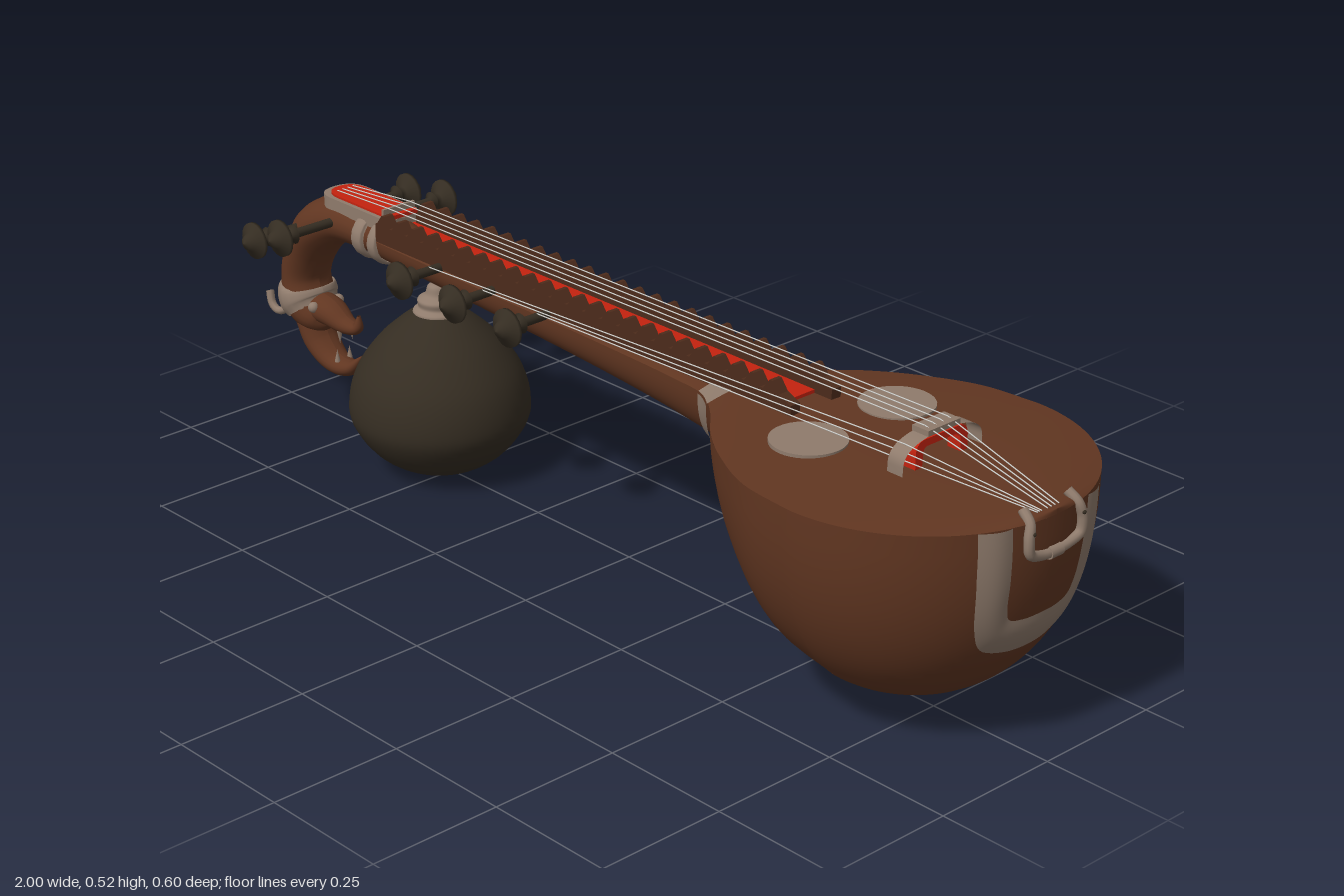
import * as THREE from 'three';

const mat = (name, color, side = THREE.FrontSide) => {
  const m = new THREE.MeshStandardMaterial({ color, side });
  m.name = name;
  return m;
};

export function createModel() {
  const wood = mat('brown wood', 0x613621, THREE.DoubleSide);
  const rail = mat('dark brown wood', 0x4c2b1b);
  const ivory = mat('aged ivory', 0x8f7b6c, THREE.DoubleSide);
  const ebony = mat('ebony', 0x352d22);
  const red = mat('red lacquer', 0xc4220f);
  const steel = mat('steel', 0xd2d2ce);

  const model = new THREE.Group();
  const add = (name, geo, material, x = 0, y = 0, z = 0) => {
    const m = new THREE.Mesh(geo, material);
    m.name = name;
    m.position.set(x, y, z);
    model.add(m);
    return m;
  };
  const box = (name, material, w, h, d, x, y, z) => add(name, new THREE.BoxGeometry(w, h, d), material, x, y, z);
  const curve = (pts) => new THREE.CatmullRomCurve3(pts.map((p) => new THREE.Vector3(...p)));

  // Surface from a rule fn(u, v) -> [x, y, z]; the front is along du x dv
  function grid(nu, nv, fn) {
    const pos = [], idx = [];
    for (let i = 0; i <= nu; i++) for (let j = 0; j <= nv; j++) pos.push(...fn(i / nu, j / nv));
    for (let i = 0; i < nu; i++) for (let j = 0; j < nv; j++) {
      const a = i * (nv + 1) + j, b = a + nv + 1;
      idx.push(a, b, a + 1, b, b + 1, a + 1);
    }
    const g = new THREE.BufferGeometry();
    g.setAttribute('position', new THREE.Float32BufferAttribute(pos, 3));
    g.setIndex(idx);
    g.computeVertexNormals();
    return g;
  }

  // Tapered sweep in the xy plane; points are [x, y, radius]
  function sweep(pts, zScale = 1, nu = 28) {
    const c = curve(pts);
    return grid(nu, 20, (u, v) => {
      const p = c.getPoint(u), t = c.getTangent(u);
      const l = Math.hypot(t.x, t.y) || 1, a = v * Math.PI * 2;
      const k = p.z * Math.cos(a);
      return [p.x - (t.y / l) * k, p.y + (t.x / l) * k, -p.z * zScale * Math.sin(a)];
    });
  }

  // Neck and bowl: stations of [x, half width, depth], closed by a round end
  const TOP = 0.446, CX = 0.69, R = 0.3, DEPTH = 0.402, FULL = 2.3;
  const full = (c) => Math.sign(c) * Math.abs(c) ** (2 / FULL);
  const stations = curve([
    [-0.64, 0.056, 0.05], [-0.3, 0.065, 0.063], [0, 0.071, 0.081], [0.2, 0.08, 0.099], [0.28, 0.09, 0.111],
    [0.34, 0.13, 0.137], [0.4, 0.187, 0.197], [0.48, 0.242, 0.302], [0.58, 0.287, 0.377], [CX, R, DEPTH],
  ]);
  const station = (u) => {
    if (u < 0.65) return stations.getPoint(u / 0.65);
    const a = ((u - 0.65) / 0.35) * Math.PI / 2;
    return new THREE.Vector3(CX + R * Math.sin(a), R * Math.cos(a), DEPTH);
  };
  const shell = (u0, u1, nu, off) => grid(nu, 36, (u, v) => {
    const s = station(u0 + (u1 - u0) * u), a = v * Math.PI;
    return [s.x, TOP - (s.z + off) * full(Math.sin(a)), -(s.y + off) * full(Math.cos(a))];
  });
  const deck = (u0, u1, nu, off) => grid(nu, 10, (u, v) => {
    const s = station(u0 + (u1 - u0) * u), k = 1 - 2 * v;
    return [s.x, TOP + off + 0.01 * (1 - k * k), (s.y + off) * k];
  });
  add('bowlAndNeck', shell(0, 0.65, 64, 0), wood);
  add('bowlEnd', grid(40, 24, (u, v) => {
    const phi = (u - 0.5) * Math.PI, a = v * Math.PI / 2, r = R * full(Math.cos(a));
    return [CX + r * Math.cos(phi), TOP - DEPTH * full(Math.sin(a)), r * Math.sin(phi)];
  }), wood);
  add('soundboard', deck(0, 1, 90, 0), wood);
  add('neckJointBand', shell(0.28, 0.335, 6, 0.006), ivory);
  add('neckJointBandTop', deck(0.28, 0.335, 6, 0.004), ivory);
  for (const z of [-0.108, 0.104]) {
    add('soundboardDisc', new THREE.CylinderGeometry(0.067, 0.067, 0.008, 40), ivory, 0.545, TOP + 0.0085, z);
  }

  // U-shaped inlay wrapped on the end of the bowl
  const mirrored = (pts) => curve([...pts, ...pts.slice(0, -1).reverse().map(([z, y]) => [-z, y, 0])]);
  const outer = mirrored([[0.145, TOP, 0], [0.14, 0.35, 0], [0.125, 0.26, 0], [0.1, 0.215, 0], [0.05, 0.198, 0], [0, 0.195, 0]]);
  const inner = mirrored([[0.09, TOP, 0], [0.085, 0.35, 0], [0.08, 0.295, 0], [0.07, 0.272, 0], [0.04, 0.265, 0], [0, 0.265, 0]]);
  add('endInlay', grid(48, 8, (u, v) => {
    const p = outer.getPoint(u).lerp(inner.getPoint(u), v);
    const r = R * (1 - Math.max(0, (TOP - p.y) / DEPTH) ** FULL) ** (1 / FULL);
    return [CX + Math.sqrt(r * r - p.x * p.x) + 0.002 + 0.005 * Math.sin(v * Math.PI), p.y, p.x];
  }), ivory);

  // Tail loop that anchors the strings
  const loop = curve([
    [0.965, 0.462, 0.053], [0.985, 0.445, 0.058], [0.99, 0.42, 0.064], [0.99, 0.395, 0.06], [0.988, 0.384, 0.035],
    [0.988, 0.381, 0], [0.988, 0.384, -0.035], [0.99, 0.395, -0.06], [0.99, 0.42, -0.064], [0.985, 0.445, -0.058], [0.965, 0.462, -0.053],
  ]);
  add('tailLoop', new THREE.TubeGeometry(loop, 56, 0.009, 10), ivory);
  add('tailLoopKnob', new THREE.CylinderGeometry(0.011, 0.011, 0.028, 14).rotateX(Math.PI / 2), ivory, 0.988, 0.381, 0);
  for (const z of [-0.06, 0.06]) add('tailPin', new THREE.SphereGeometry(0.004, 10, 8), ebony, 0.996, 0.432, z);

  // Sunken fingerboard between two scalloped fret rails
  box('fingerboard', red, 1.06, 0.008, 0.08, -0.11, 0.458, 0);
  const teeth = 24, x0 = -0.635, x1 = 0.46;
  const saw = new THREE.Shape();
  saw.moveTo(x0, 0.45);
  saw.lineTo(x1, 0.45);
  saw.lineTo(x1, 0.474);
  for (let i = teeth - 1; i >= 0; i--) {
    const at = (k) => x0 + 1.07 * ((i + k) / teeth);
    saw.lineTo(at(0.92), 0.486);
    saw.lineTo(at(0.58), 0.506);
    saw.lineTo(at(0.42), 0.506);
    saw.lineTo(at(0.08), 0.486);
  }
  saw.lineTo(x0, 0.486);
  for (const z of [-0.06, 0.038]) {
    add('fretRail', new THREE.ExtrudeGeometry(saw, { depth: 0.022, bevelEnabled: false }), rail, 0, 0, z);
  }

  // Peg box curving down into the carved head
  add('pegBox', sweep([
    [-0.6, 0.428, 0.038], [-0.7, 0.438, 0.042], [-0.8, 0.435, 0.046], [-0.87, 0.4, 0.05],
    [-0.915, 0.34, 0.045], [-0.935, 0.28, 0.042], [-0.92, 0.225, 0.044], [-0.88, 0.2, 0.03], [-0.86, 0.195, 0.004],
  ], 1.25, 50), wood);
  for (const [a, b] of [[-0.712, -0.68], [-0.665, -0.638]]) {
    add('neckRing', sweep([[a, 0.437, 0.044], [a + 0.004, 0.437, 0.05], [b - 0.004, 0.436, 0.05], [b, 0.436, 0.044]], 1.25, 12), ivory);
  }
  const frame = new THREE.Shape();
  frame.moveTo(-0.64, -0.044);
  frame.lineTo(-0.64, 0.044);
  frame.lineTo(-0.79, 0.044);
  frame.quadraticCurveTo(-0.835, 0.044, -0.835, 0);
  frame.quadraticCurveTo(-0.835, -0.044, -0.79, -0.044);
  const plate = (h) => new THREE.ExtrudeGeometry(frame, { depth: h, bevelEnabled: false }).rotateX(-Math.PI / 2);
  add('pegBoxFrame', plate(0.026), ivory, 0, 0.464, 0);
  add('pegBoxPanel', plate(0.008).scale(1, 1, 0.8), red, 0.014, 0.486, 0);
  box('nut', ivory, 0.006, 0.018, 0.076, -0.64, 0.497, 0);

  // Animal head: jaws, collar, horns, eyes and fangs
  add('upperJaw', sweep([[-0.92, 0.225, 0.03], [-0.86, 0.222, 0.028], [-0.81, 0.208, 0.018], [-0.778, 0.212, 0.011], [-0.772, 0.238, 0.003]], 1.2), wood);
  add('lowerJaw', sweep([[-0.915, 0.2, 0.03], [-0.89, 0.15, 0.027], [-0.845, 0.119, 0.021], [-0.8, 0.121, 0.015], [-0.765, 0.155, 0.002]], 1.4), wood);
  add('headCollar', sweep([[-0.936, 0.265, 0.043], [-0.936, 0.257, 0.05], [-0.928, 0.232, 0.052], [-0.916, 0.214, 0.045]], 1.2, 12), ivory);
  for (const s of [-1, 1]) {
    const horn = curve([[-0.93, 0.225, 0.035 * s], [-0.965, 0.205, 0.048 * s], [-0.983, 0.215, 0.05 * s], [-0.992, 0.24, 0.048 * s]]);
    add('horn', new THREE.TubeGeometry(horn, 14, 0.008, 8), ivory);
    add('eye', new THREE.SphereGeometry(0.011, 12, 10), ivory, -0.875, 0.234, 0.031 * s);
    for (const [x, y, r] of [[-0.815, 0.185, Math.PI], [-0.825, 0.143, 0]]) {
      add('fang', new THREE.ConeGeometry(0.006, 0.026, 8), ivory, x, y, 0.015 * s).rotation.x = r;
    }
  }

  // Tuning pegs: [x, y, side, start]
  const pegProfile = [[0.009, 0], [0.009, 0.082], [0.019, 0.088], [0.01, 0.097], [0.012, 0.105],
    [0.036, 0.116], [0.036, 0.122], [0.018, 0.13], [0.013, 0.14], [0, 0.146]].map((p) => new THREE.Vector2(...p));
  const pegGeo = new THREE.LatheGeometry(pegProfile, 20);
  for (const [x, y, s, z] of [[-0.885, 0.405, 1, 0.038], [-0.78, 0.445, 1, 0.055], [-0.83, 0.435, -1, 0.06],
    [-0.725, 0.45, -1, 0.063], [-0.45, 0.452, 1, 0.035], [-0.3, 0.452, 1, 0.035], [-0.15, 0.452, 1, 0.035]]) {
    add('tuningPeg', pegGeo, ebony, x, y, s * z).rotation.x = s * Math.PI / 2;
  }

  // Gourd resonator and its turned mount
  const lathe = (pts) => new THREE.LatheGeometry(new THREE.SplineCurve(pts.map((p) => new THREE.Vector2(...p))).getPoints(40), 40);
  add('gourd', lathe([[0, 0.002], [0.065, 0.012], [0.125, 0.047], [0.165, 0.1], [0.173, 0.145], [0.158, 0.205], [0.12, 0.262], [0.075, 0.305], [0.04, 0.33]]), ebony, -0.53, 0, 0);
  add('gourdMount', lathe([[0.046, 0.315], [0.047, 0.328], [0.037, 0.336], [0.038, 0.35], [0.024, 0.36], [0.019, 0.375], [0.011, 0.385], [0.011, 0.41]]), ivory, -0.53, 0, 0);

  // Bridge: red arch beneath an ivory saddle and string rest
  const arch = new THREE.Shape();
  arch.moveTo(-0.062, 0);
  arch.lineTo(-0.062, 0.03);
  arch.quadraticCurveTo(-0.06, 0.05, -0.04, 0.05);
  arch.lineTo(0.04, 0.05);
  arch.quadraticCurveTo(0.06, 0.05, 0.062, 0.03);
  arch.lineTo(0.062, 0);
  arch.lineTo(0.046, 0);
  arch.lineTo(0.044, 0.028);
  arch.quadraticCurveTo(0.042, 0.037, 0.034, 0.037);
  arch.lineTo(-0.034, 0.037);
  arch.quadraticCurveTo(-0.042, 0.037, -0.044, 0.028);
  arch.lineTo(-0.046, 0);
  add('bridgeArch', new THREE.ExtrudeGeometry(arch, { depth: 0.028, bevelEnabled: false }), red, 0.716, 0.454, 0).rotation.y = Math.PI / 2;
  add('bridgeSaddle', grid(32, 1, (u, v) => {
    const a = u * Math.PI;
    return [0.713 + 0.034 * v, 0.452 + 0.059 * Math.sqrt(Math.sin(a)), 0.095 * Math.cos(a)];
  }), ivory);
  box('stringRest', ivory, 0.036, 0.01, 0.076, 0.73, 0.514, 0);

  // Strings as straight runs between points
  const string = (name, pts) => {
    for (let i = 1; i < pts.length; i++) {
      const a = new THREE.Vector3(...pts[i - 1]), b = new THREE.Vector3(...pts[i]);
      const m = add(name, new THREE.CylinderGeometry(0.0012, 0.0012, a.distanceTo(b), 5), steel);
      m.position.copy(a).lerp(b, 0.5);
      m.quaternion.setFromUnitVectors(new THREE.Vector3(0, 1, 0), b.sub(a).normalize());
    }
  };
  for (const z of [-0.027, -0.009, 0.009, 0.027]) {
    string('mainString', [[-0.8, 0.496, z * 0.7], [-0.64, 0.507, z], [0.73, 0.52, z], [0.982, 0.458, z * 0.5]]);
  }
  [-0.45, -0.3, -0.15].forEach((x, i) => {
    string('sideString', [[x, 0.46, 0.085], [0.73, 0.502 - i * 0.01, 0.074 + i * 0.008], [0.98, 0.457, 0.025 + i * 0.005]]);
  });

  return model;
}
